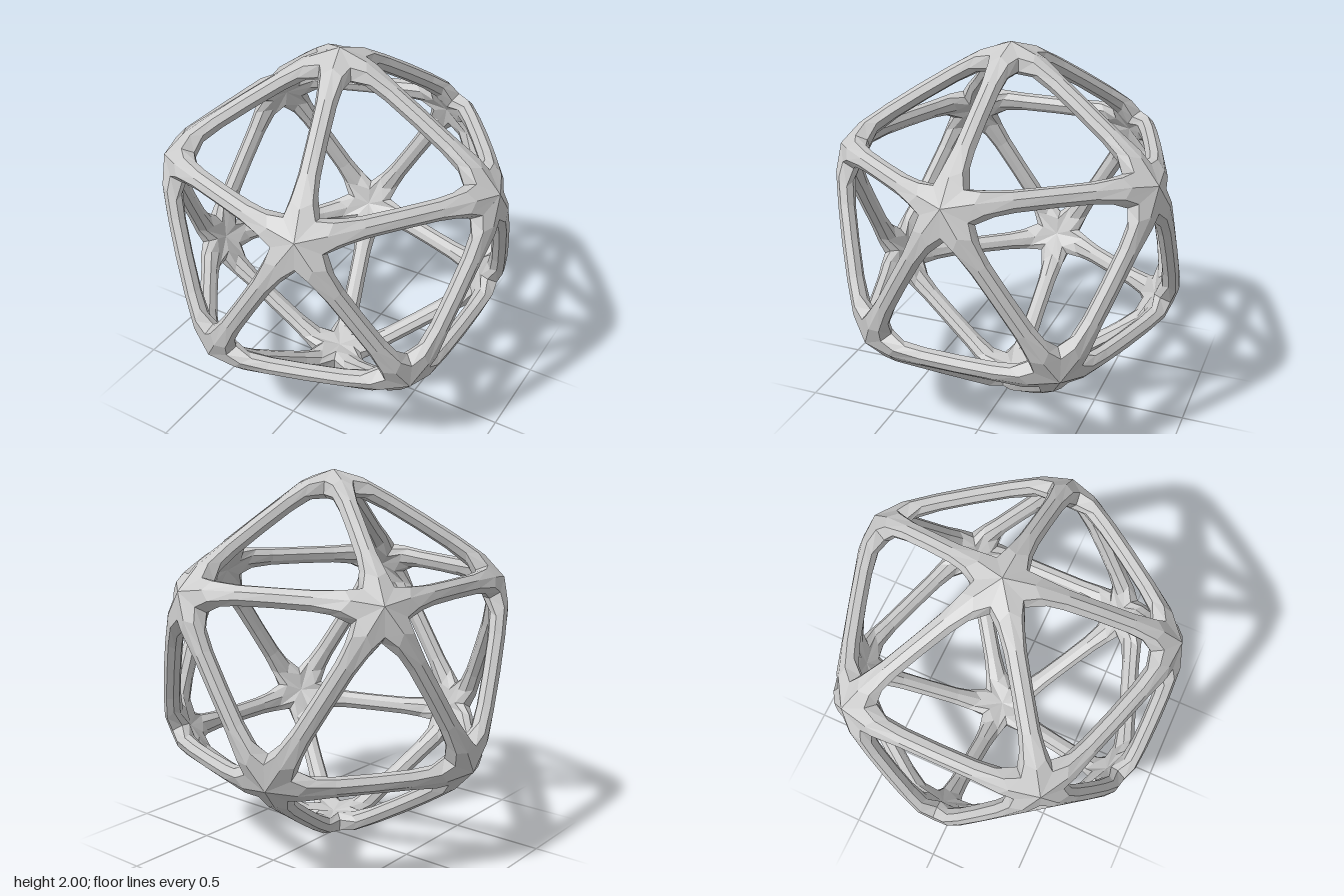
import * as THREE from 'three';

const EDGE = 1.0515;                    // icosahedron edge for a radius of 1
const TILT = Math.PI / 2 - 2.4119 / 2;  // slope of the faces beside each edge

// Point on the mitre between neighbouring struts: d toward the face centre, h above the face.
// Results are [along strut, outward, sideways].
const mitre = (d, h) => [
  d * Math.cos(Math.PI / 6),
  -d * 0.5 * Math.sin(TILT) + h * Math.cos(TILT),
  d * 0.5 * Math.cos(TILT) + h * Math.sin(TILT),
];

// Half cross-sections from the outer ridge round to the inner ridge, node to middle
const HALF_RINGS = [
  [[0, 0, 0], mitre(0.135, 0.035), mitre(0.183, -0.01), mitre(0.16, -0.058), [0.063, -0.102, 0]],
  [[0.15, 0.042, 0], [0.19, 0.036, 0.052], [0.245, 0.003, 0.061], [0.22, -0.034, 0.046], [0.19, -0.055, 0]],
  [[0.33, 0.052, 0], [0.33, 0.042, 0.037], [0.34, 0.007, 0.053], [0.34, -0.026, 0.036], [0.34, -0.038, 0]],
  [[EDGE / 2, 0.055, 0], [EDGE / 2, 0.043, 0.036], [EDGE / 2, 0.009, 0.051],
    [EDGE / 2, -0.024, 0.035], [EDGE / 2, -0.035, 0]],
];

// One strut with a fifth of the star-shaped joint at each end
function strutGeometry() {
  const full = HALF_RINGS.map((half) => [
    ...half,
    ...half.slice(1, 4).reverse().map(([x, y, z]) => [x, y, -z]),
  ]);
  const farEnd = full.slice(0, 3).reverse()
    .map((ring) => ring.map(([x, y, z]) => [EDGE - x, y, z]));
  const rings = [...full, ...farEnd];
  const index = [];
  for (let i = 0; i < rings.length - 1; i++) {
    for (let j = 0; j < 8; j++) {
      const k = (j + 1) % 8;
      const a = i * 8 + j, b = i * 8 + k, c = a + 8, d = b + 8;
      index.push(a, b, c, b, d, c);
    }
  }
  const geometry = new THREE.BufferGeometry();
  geometry.setAttribute('position', new THREE.Float32BufferAttribute(rings.flat(2), 3));
  geometry.setIndex(index);
  const flat = geometry.toNonIndexed();
  flat.computeVertexNormals();
  return flat;
}

// Icosahedron standing on a corner
function corners() {
  const points = [new THREE.Vector3(0, 1, 0), new THREE.Vector3(0, -1, 0)];
  const y = 1 / Math.sqrt(5), r = 2 * y;
  for (let i = 0; i < 5; i++) {
    const t = (i * 2 * Math.PI) / 5;
    points.push(new THREE.Vector3(r * Math.cos(t), y, r * Math.sin(t)));
    points.push(new THREE.Vector3(-r * Math.cos(t), -y, -r * Math.sin(t)));
  }
  return points;
}

export function createModel() {
  const model = new THREE.Group();
  model.name = 'icosahedronFrame';
  const material = new THREE.MeshStandardMaterial({ color: 0xcccccc, flatShading: true });
  const geometry = strutGeometry();
  const points = corners();

  // A strut along every edge
  points.forEach((a, i) => points.slice(i + 1).forEach((b) => {
    if (a.distanceTo(b) > 1.1) return;
    const along = b.clone().sub(a).normalize();
    const outward = a.clone().add(b).normalize();
    const side = along.clone().cross(outward);
    const strut = new THREE.Mesh(geometry, material);
    strut.name = 'strut';
    strut.quaternion.setFromRotationMatrix(new THREE.Matrix4().makeBasis(along, outward, side));
    strut.position.copy(a).setY(a.y + 1);
    model.add(strut);
  }));
  return model;
}
